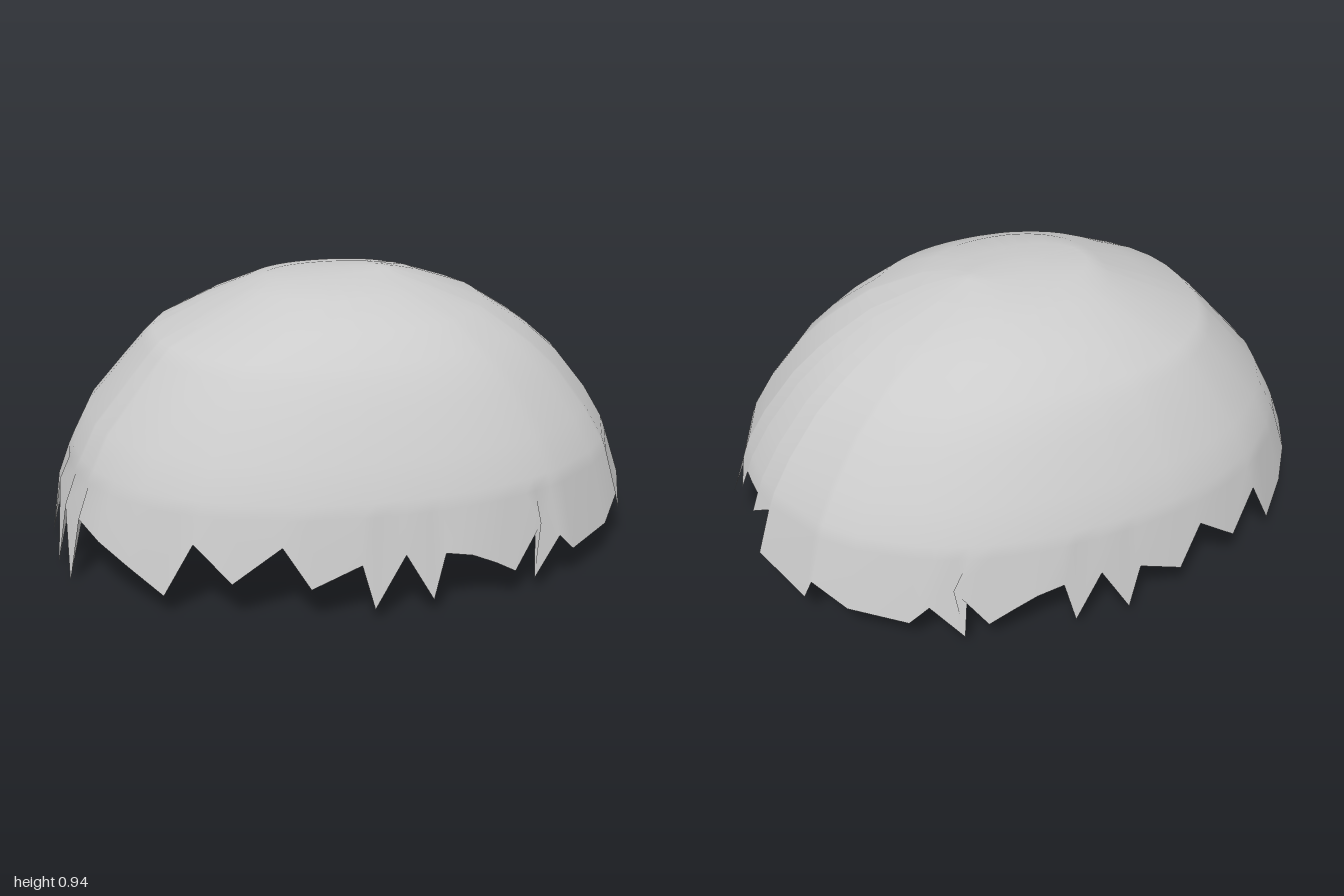
import * as THREE from 'three';

// Horizontal sections of the dome: [y, left x, right x, half depth]
const sections = [
  [0.94, -0.05, 0.18, 0.06],
  [0.93, -0.25, 0.22, 0.15],
  [0.905, -0.31, 0.31, 0.28],
  [0.84, -0.46, 0.49, 0.42],
  [0.76, -0.63, 0.615, 0.51],
  [0.72, -0.67, 0.67, 0.55],
  [0.64, -0.74, 0.76, 0.605],
  [0.5, -0.86, 0.87, 0.685],
  [0.39, -0.915, 0.935, 0.73],
  [0.27, -0.97, 0.98, 0.755],
  [0.17, -0.99, 1.01, 0.77],
  [0, -1.01, 1.02, 0.775],
];

// Jagged rim from the left end round the front to the right end: [x, z, y]
const rim = [
  [-0.97, 0, 0.27], [-0.99, 0.13, 0.02], [-0.97, 0.147, 0.235], [-0.97, 0.25, 0.005],
  [-0.955, 0.272, 0.23], [-0.9, 0.39, 0.195], [-0.82, 0.5, 0.15], [-0.7, 0.58, 0.08],
  [-0.61, 0.615, 0.26], [-0.5, 0.68, 0.145], [-0.35, 0.715, 0.265], [-0.27, 0.755, 0.13],
  [-0.11, 0.76, 0.2], [-0.07, 0.77, 0.05], [0.03, 0.76, 0.22], [0.12, 0.765, 0.06],
  [0.16, 0.755, 0.21], [0.25, 0.75, 0.19], [0.33, 0.735, 0.15], [0.4, 0.715, 0.105],
  [0.5, 0.67, 0.24], [0.47, 0.69, 0.06], [0.57, 0.645, 0.18], [0.63, 0.62, 0.115],
  [0.79, 0.5, 0.135], [0.87, 0.395, 0.19], [0.9, 0.38, 0.12], [1.0, 0.17, 0.17],
  [0.97, 0.162, 0.325], [0.97, 0.067, 0.265], [0.97, 0.063, 0.33], [0.97, 0, 0.33],
];

// Section interpolated at height y
function sectionAt(y) {
  let i = 0;
  while (i < sections.length - 2 && sections[i + 1][0] > y) i++;
  const [a, b] = [sections[i], sections[i + 1]];
  const t = (a[0] - y) / (a[0] - b[0]);
  return [1, 2, 3].map((k) => a[k] + (b[k] - a[k]) * t);
}

// Point on the slightly squared oval at height y
function pointAt(angle, y) {
  const [left, right, depth] = sectionAt(y);
  const c = Math.cos(angle), s = Math.sin(angle), n = 2.2;
  const k = (Math.abs(c) ** n + Math.abs(s) ** n) ** (-1 / n);
  return [(left + right) / 2 + c * k * (right - left) / 2, y, s * k * depth];
}

function angleOf([x, z, y]) {
  const [left, right, depth] = sectionAt(y);
  return Math.atan2(z / depth, (x - (left + right) / 2) / ((right - left) / 2));
}

function shellGeometry() {
  // Mirror the rim to the back; base angles stay in order where a tooth leans over
  const front = rim.map((p) => ({ angle: angleOf(p), y: p[2] }));
  const sorted = front.map((p) => p.angle).sort((a, b) => b - a);
  front.forEach((p, i) => { p.base = sorted[i]; });
  const back = front.slice(1, -1).reverse()
    .map((p) => ({ angle: -p.angle, base: -p.base, y: p.y }));
  const columns = [...front, ...back];
  const count = columns.length;

  const levels = [...sections.slice(0, 9).map((s) => s[0]), 0.345];
  const positions = [0.14, 0.945, 0];
  for (const y of levels) {
    for (const col of columns) positions.push(...pointAt(col.base, y));
  }
  for (const col of columns) positions.push(...pointAt(col.angle, col.y));

  const index = [];
  const at = (row, col) => 1 + row * count + (col % count);
  for (let c = 0; c < count; c++) {
    index.push(0, at(0, c), at(0, c + 1));
    for (let r = 0; r < levels.length; r++) {
      index.push(at(r, c), at(r + 1, c), at(r, c + 1));
      index.push(at(r, c + 1), at(r + 1, c), at(r + 1, c + 1));
    }
  }
  const geometry = new THREE.BufferGeometry();
  geometry.setAttribute('position', new THREE.Float32BufferAttribute(positions, 3));
  geometry.setIndex(index);
  geometry.computeVertexNormals();
  return geometry;
}

export function createModel() {
  const group = new THREE.Group();
  group.name = 'brokenDome';
  const shell = new THREE.Mesh(
    shellGeometry(),
    new THREE.MeshStandardMaterial({ color: 0xcccccc, side: THREE.DoubleSide }),
  );
  shell.name = 'jaggedShell';
  group.add(shell);
  return group;
}
